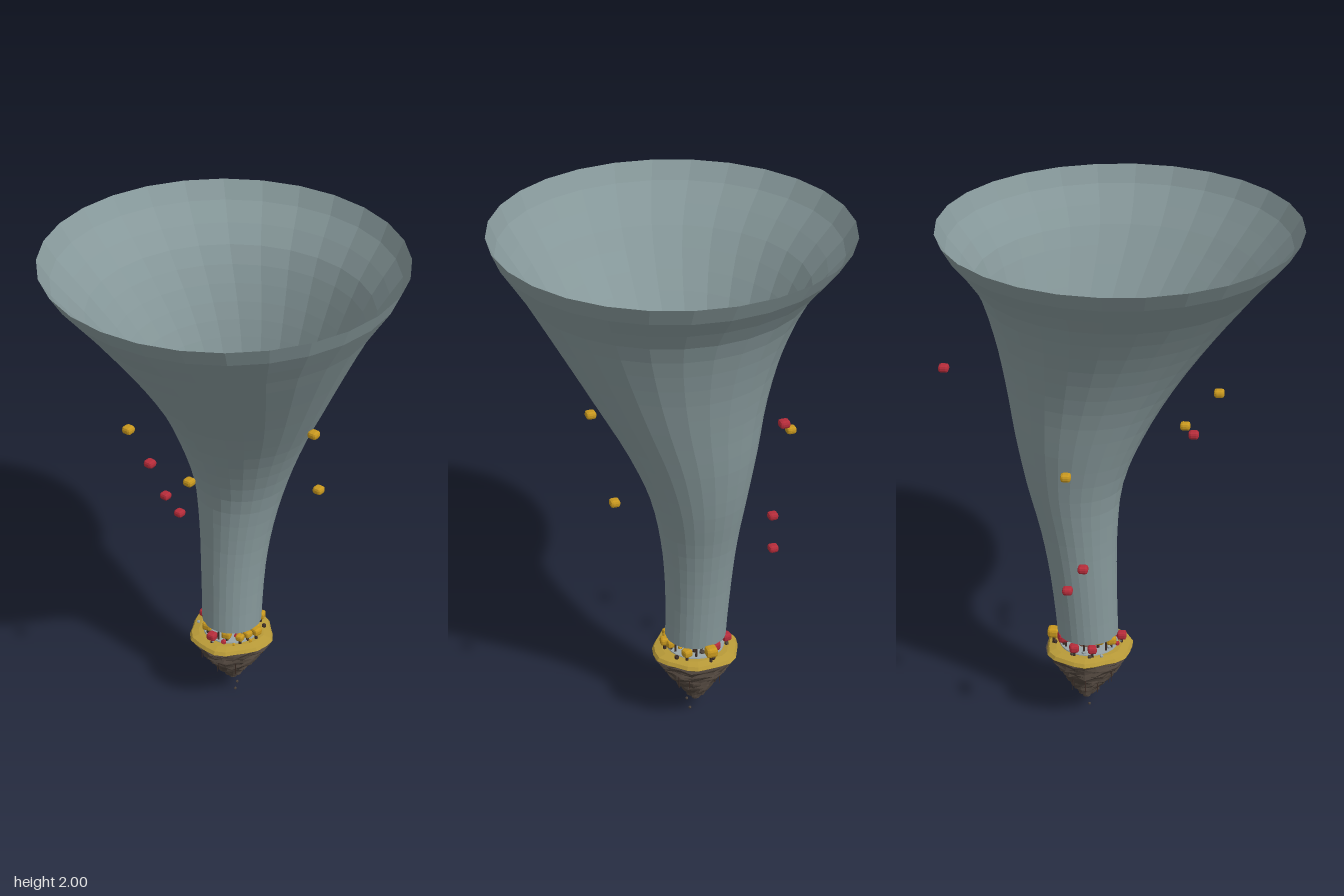
import * as THREE from 'three';
import { RoundedBoxGeometry } from 'three/addons/geometries/RoundedBoxGeometry.js';

const paint = (name, color, extra = {}) => {
  const m = new THREE.MeshStandardMaterial({ color, ...extra });
  m.name = name;
  return m;
};

// Small seeded random source
function seeded(seed) {
  return () => {
    seed = (seed * 16807) % 2147483647;
    return seed / 2147483647;
  };
}

// Skin stacked rings, listed bottom to top as [y, centreX, centreZ, radius]
function loft(rings, sides, wobble = () => 1) {
  const pos = [], index = [];
  rings.forEach(([y, cx, cz, r], i) => {
    for (let j = 0; j < sides; j++) {
      const a = (j / sides) * Math.PI * 2;
      const k = r * wobble(i, j);
      pos.push(cx + k * Math.sin(a), y, cz + k * Math.cos(a));
    }
  });
  for (let i = 0; i < rings.length - 1; i++) {
    for (let j = 0; j < sides; j++) {
      const a = i * sides + j, b = i * sides + ((j + 1) % sides);
      index.push(a, b, b + sides, a, b + sides, a + sides);
    }
  }
  let g = new THREE.BufferGeometry();
  g.setAttribute('position', new THREE.Float32BufferAttribute(pos, 3));
  g.setIndex(index);
  g = g.toNonIndexed();
  g.computeVertexNormals();
  return g;
}

export function createModel() {
  const model = new THREE.Group();
  model.name = 'whirlwindIsland';
  const rand = seeded(417);
  const CX = 0.115, CZ = -0.054;

  const flat = { flatShading: true };
  const wind = paint('storm grey', 0x87999b, { flatShading: true, side: THREE.DoubleSide });
  const rock = paint('dark rock', 0x4c423a, flat);
  const grass = paint('dry grass', 0xb89a38, flat);
  const gold = paint('golden leaves', 0xc8981f, flat);
  const red = paint('red leaves', 0xb52c3a, flat);
  const bark = paint('bark', 0x3c2d26, flat);
  const pale = paint('pale ground', 0x9aa6a8, flat);
  const clay = paint('clay brown', 0x7a5a4c, flat);

  const add = (name, geometry, material, x = 0, y = 0, z = 0, parent = model) => {
    const m = new THREE.Mesh(geometry, material);
    m.name = name;
    m.position.set(x, y, z);
    parent.add(m);
    return m;
  };

  // Funnel: a leaning horn, open at both ends; points hold (centreX, y, centreZ)
  const spine = [
    [0.118, 0.36, -0.054, 0.117], [0.132, 0.6, -0.058, 0.126], [0.148, 0.8, -0.055, 0.144],
    [0.163, 1.0, -0.046, 0.18], [0.145, 1.2, -0.026, 0.24], [0.105, 1.4, 0.005, 0.315],
    [0.055, 1.6, 0.022, 0.407], [0.01, 1.8, 0.022, 0.518], [0, 2, 0, 0.655],
  ];
  const path = new THREE.CatmullRomCurve3(spine.map(p => new THREE.Vector3(p[0], p[1], p[2])));
  const girth = new THREE.SplineCurve(spine.map(p => new THREE.Vector2(p[1], p[3])));
  const funnelRings = [];
  for (let i = 0; i <= 24; i++) {
    const p = path.getPoint(i / 24);
    funnelRings.push([p.y, p.x, p.z, girth.getPoint(i / 24).y]);
  }
  add('funnel', loft(funnelRings, 28), wind);

  // Island underside: ragged, overhanging layers of rock
  const rockRings = [[0.055, 0.125, CZ, 0]];
  const layers = 11;
  for (let i = 0; i < layers; i++) {
    const t = i / (layers - 1);
    const r = 0.016 + 0.136 * Math.pow(t, 0.85);
    const y = 0.06 + 0.205 * t;
    rockRings.push([y, 0.125 - 0.01 * t, CZ, r], [y + 0.013, 0.125 - 0.01 * t, CZ, r * 1.06]);
  }
  rockRings.push([0.284, CX, CZ, 0.158], [0.284, CX, CZ, 0]);
  add('islandRock', loft(rockRings, 22, () => 0.91 + 0.17 * rand()), rock);

  // Grass plate with an uneven outline
  const outline = (i, j) => 1 + 0.035 * Math.sin(j * 1.7) + 0.03 * Math.cos(j * 0.7);
  add('islandTop', loft([
    [0.276, CX, CZ, 0], [0.276, CX, CZ, 0.15], [0.289, CX, CZ, 0.166],
    [0.302, CX, CZ, 0.158], [0.309, CX, CZ, 0.13], [0.309, CX, CZ, 0],
  ], 24, outline), grass);
  add('clearing', new THREE.CylinderGeometry(0.112, 0.114, 0.008, 24), pale, CX, 0.309, CZ);

  // Mound standing inside the foot of the funnel
  add('mound', new THREE.SphereGeometry(0.042, 12, 8), clay, 0.125, 0.39, -0.08).scale.set(0.9, 1.1, 0.9);
  add('moundStem', new THREE.CylinderGeometry(0.022, 0.03, 0.08, 10), clay, 0.125, 0.35, -0.08);

  // Trees: [x, z, crown size, crown height, leaves]
  const trees = [
    [0.025, -0.1, 0.04, 0.348, gold], [0.075, -0.105, 0.048, 0.352, gold],
    [0.13, -0.1, 0.046, 0.35, red], [0.208, -0.095, 0.046, 0.348, red],
    [0.17, -0.06, 0.052, 0.352, red], [0.03, -0.01, 0.038, 0.344, gold],
    [0.145, -0.005, 0.048, 0.35, gold], [0.13, 0.05, 0.04, 0.342, gold],
    [0.25, -0.07, 0.046, 0.352, gold], [0.085, 0.05, 0.032, 0.34, gold],
    [-0.012, -0.05, 0.036, 0.34, red], [0.05, 0.04, 0.03, 0.338, gold],
    [0.215, 0.015, 0.036, 0.342, gold], [0.16, -0.165, 0.036, 0.342, red],
    [0.09, -0.17, 0.034, 0.342, red], [0.115, 0.07, 0.036, 0.346, gold],
  ];
  for (const [x, z, s, y, leaves] of trees) {
    const tree = new THREE.Group();
    tree.name = 'tree';
    tree.position.set(x, 0, z);
    tree.rotation.y = (rand() - 0.5) * 0.6;
    model.add(tree);
    add('trunk', new THREE.CylinderGeometry(0.005, 0.007, y - 0.3, 6), bark, 0, (y + 0.3) / 2, 0, tree);
    add('crown', new RoundedBoxGeometry(s, s * 0.85, s, 1, s * 0.25), leaves, 0, y, 0, tree);
  }

  // Pebbles, stumps and fallen leaves
  for (let i = 0; i < 18; i++) {
    const a = i * 2.4, r = 0.035 + 0.1 * rand(), s = 0.006 + 0.006 * rand();
    add('pebble', new THREE.DodecahedronGeometry(s), [rock, gold, pale, bark, red][i % 5],
      CX + r * Math.cos(a), 0.315, CZ + r * Math.sin(a));
  }
  for (let i = 0; i < 7; i++) {
    const a = i * 0.9 + 0.3;
    add('stump', new THREE.CylinderGeometry(0.003, 0.005, 0.05, 5), bark,
      CX + 0.1 * Math.cos(a), 0.332, CZ + 0.1 * Math.sin(a));
  }

  // Roots hanging from the rock
  for (let i = 0; i < 14; i++) {
    const a = i * 2.4 + 0.5, r = 0.07 + 0.065 * rand(), len = 0.05 + 0.05 * rand();
    const top = 0.09 + r * 1.2;
    add('root', new THREE.CylinderGeometry(0.003, 0.0015, len, 5), bark,
      CX + r * Math.cos(a), top - len / 2 + 0.02, CZ + r * Math.sin(a));
  }

  // Crumbs falling from the tip
  add('crumb', new THREE.DodecahedronGeometry(0.006), rock, 0.113, 0.05, -0.022);
  add('crumb', new THREE.DodecahedronGeometry(0.006), rock, 0.117, 0.006, -0.034);

  // Debris circling the funnel
  const debris = [
    [-0.37, 1.43, -0.14, gold], [-0.24, 1.21, 0.03, gold], [0.09, 1.37, 0.34, gold],
    [0.2, 1.055, 0.29, gold], [0.154, 1.205, -0.41, gold], [-0.28, 1.25, -0.12, red],
    [0.615, 1.51, -0.19, red], [0.1, 0.81, -0.37, red], [0.16, 0.705, -0.35, red],
  ];
  for (const [x, y, z, m] of debris) {
    add('flyingLeaf', new RoundedBoxGeometry(0.038, 0.028, 0.038, 1, 0.01), m, x, y, z);
  }
  return model;
}
